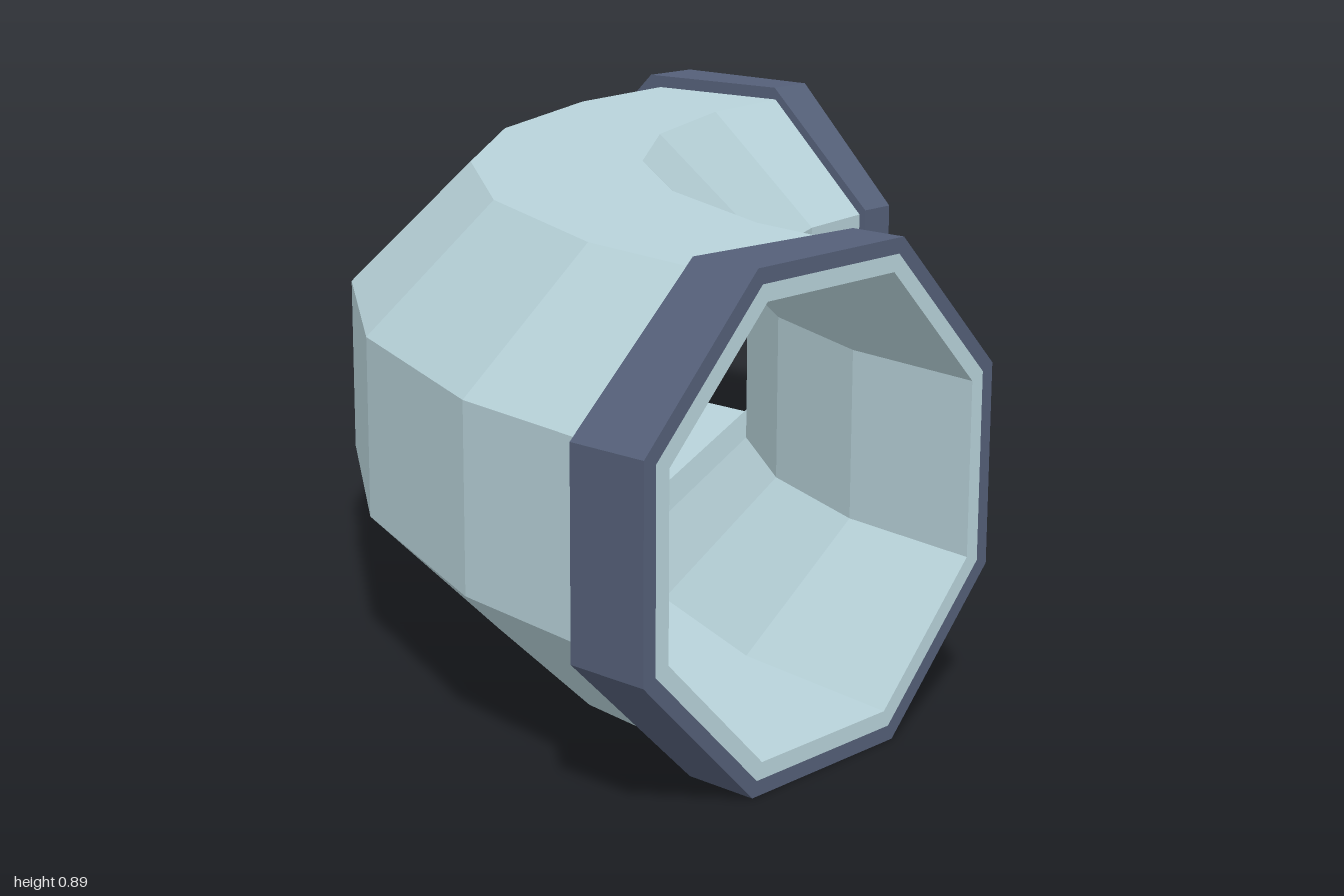
import * as THREE from 'three';

const SIDES = 8, SEGMENTS = 6;
const STEP = Math.PI / 2 / SEGMENTS;   // bend angle of one pipe segment
const BEND = 1.5525;                   // centreline radius, about x = 1, z = 1
const HEIGHT = 0.4475;                 // centreline height
const OUTER = 0.42, INNER = 0.39, RIM = 0.4475; // half widths across flats
const RIM_ANGLE = THREE.MathUtils.degToRad(4.6);

// Octagonal cross-section at a bend angle; stretch scales distance from the bend axis
function ring(apothem, angle, stretch = 1) {
  const r = apothem / Math.cos(Math.PI / SIDES);
  return Array.from({ length: SIDES }, (_, k) => {
    const phi = ((k + 0.5) / SIDES) * Math.PI * 2;
    const d = (BEND + r * Math.cos(phi)) * stretch;
    return [1 - d * Math.cos(angle), HEIGHT + r * Math.sin(phi), 1 - d * Math.sin(angle)];
  });
}

// Joins successive rings into a faceted skin
function skin(rings) {
  const pos = [];
  for (let i = 0; i < rings.length - 1; i++) {
    const a = rings[i], b = rings[i + 1];
    for (let k = 0; k < SIDES; k++) {
      const n = (k + 1) % SIDES;
      pos.push(...a[k], ...a[n], ...b[k], ...a[n], ...b[n], ...b[k]);
    }
  }
  const geo = new THREE.BufferGeometry();
  geo.setAttribute('position', new THREE.Float32BufferAttribute(pos, 3));
  geo.computeVertexNormals();
  return geo;
}

export function createModel() {
  const pipeBlue = new THREE.MeshStandardMaterial({ color: 0xb8d3da });
  pipeBlue.name = 'paleBlue';
  const rimBlue = new THREE.MeshStandardMaterial({ color: 0x545f78 });
  rimBlue.name = 'slateBlue';

  const group = new THREE.Group();
  group.name = 'pipeBend';
  const add = (name, geo, mat) => {
    const mesh = new THREE.Mesh(geo, mat);
    mesh.name = name;
    group.add(mesh);
  };

  // Hollow pipe: outer wall one way, inner wall back, closed at the ends
  const outer = [], inner = [];
  for (let i = 0; i <= SEGMENTS; i++) {
    outer.push(ring(OUTER, i * STEP));
    inner.unshift(ring(INNER, i * STEP));
  }
  add('pipe', skin([...outer, ...inner, outer[0]]), pipeBlue);

  // Rims: straight collars with a slanted back that meets the pipe wall
  const onPipe = Math.cos(STEP / 2) / Math.cos(STEP / 2 - RIM_ANGLE);
  const rim = (end, back) => [
    ring(OUTER, end),
    ring(RIM, end),
    ring(RIM, back, 1 / Math.cos(RIM_ANGLE)),
    ring(OUTER - 0.01, back, onPipe),
  ];
  add('frontRim', skin(rim(0, RIM_ANGLE)), rimBlue);
  add('sideRim', skin(rim(Math.PI / 2, Math.PI / 2 - RIM_ANGLE).reverse()), rimBlue);

  return group;
}
